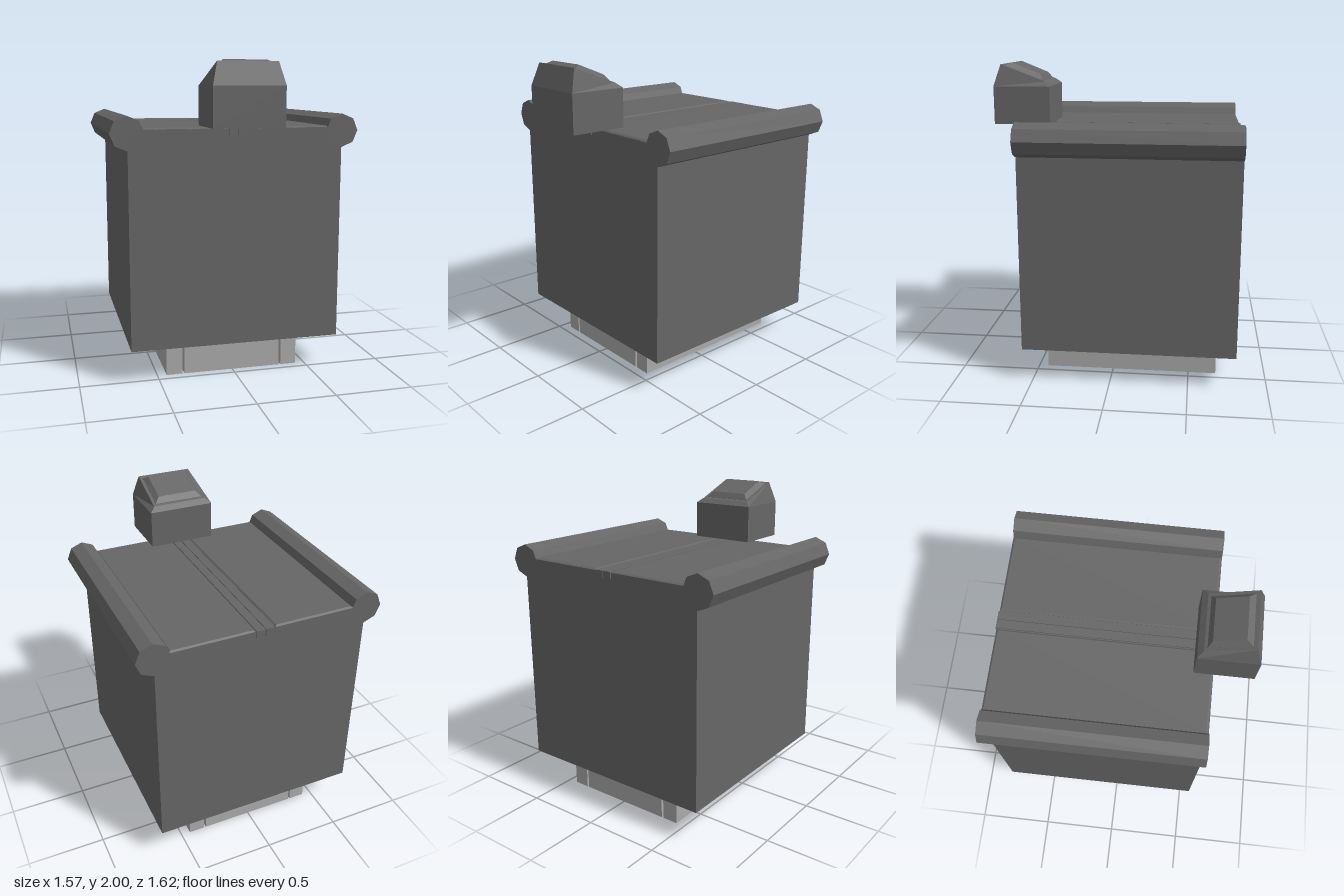
import * as THREE from 'three';

// Stack of rectangular rings; each ring is [halfWidth, zBack, zFront, yBack, yFront]
function loft(rings) {
  const pts = rings.map(([w, zb, zf, yb, yf]) => [[-w, yf, zf], [w, yf, zf], [w, yb, zb], [-w, yb, zb]]);
  const pos = [];
  const quad = (a, b, c, d) => pos.push(...a, ...b, ...c, ...a, ...c, ...d);
  for (let r = 0; r < pts.length - 1; r++) {
    for (let i = 0; i < 4; i++) {
      const j = (i + 1) % 4;
      quad(pts[r][i], pts[r][j], pts[r + 1][j], pts[r + 1][i]);
    }
  }
  const top = pts[pts.length - 1], bottom = pts[0];
  quad(top[0], top[1], top[2], top[3]);
  quad(bottom[3], bottom[2], bottom[1], bottom[0]);
  const geo = new THREE.BufferGeometry();
  geo.setAttribute('position', new THREE.Float32BufferAttribute(pos, 3));
  geo.computeVertexNormals();
  return geo;
}

// Box given by its minimum and maximum corners
function span(x0, x1, y0, y1, z0, z1) {
  return new THREE.BoxGeometry(x1 - x0, y1 - y0, z1 - z0)
    .translate((x0 + x1) / 2, (y0 + y1) / 2, (z0 + z1) / 2);
}

export function createModel() {
  const group = new THREE.Group();
  const dark = new THREE.MeshStandardMaterial({ name: 'darkGrey', color: 0x666666, flatShading: true });
  const light = new THREE.MeshStandardMaterial({ name: 'lightGrey', color: 0xaaaaaa, flatShading: true });
  const add = (name, geo, mat = dark) => {
    const mesh = new THREE.Mesh(geo, mat);
    mesh.name = name;
    group.add(mesh);
    return mesh;
  };

  // Main block and the middle part of its base
  add('body', span(-0.68, 0.68, 0.22, 1.59, -0.8, 0.56));
  add('baseCentre', span(-0.322, 0.322, 0, 0.22, -0.68, 0.44), light);

  for (const [side, s] of [['left', 1], ['right', -1]]) {
    // Outer base strips, set off by narrow slots
    const x0 = Math.min(s * 0.335, s * 0.44), x1 = Math.max(s * 0.335, s * 0.44);
    add(side + 'BaseStrip', span(x0, x1, 0, 0.22, -0.68, 0.44), light);

    // Octagonal rail along the upper edge
    const rail = new THREE.CylinderGeometry(0.105, 0.105, 1.36, 8).rotateX(Math.PI / 2);
    add(side + 'Rail', rail).position.set(s * 0.682, 1.57, -0.12);

    // Bevelled lid panel
    const panel = loft([
      [0.262, -0.802, 0.555, 1.585, 1.585],
      [0.262, -0.802, 0.555, 1.592, 1.592],
      [0.252, -0.79, 0.543, 1.6, 1.6],
    ]);
    add(side + 'LidPanel', panel).position.x = s * 0.327;

    // Half of the centre hinge strip
    const h0 = Math.min(s * 0.002, s * 0.058), h1 = Math.max(s * 0.002, s * 0.058);
    add(side + 'HingeStrip', span(h0, h1, 1.55, 1.597, -0.808, 0.567));

    // Shallow rounded bumps on the underside
    for (const z of [0.11, -0.21]) {
      const bump = new THREE.CylinderGeometry(0.032, 0.032, 0.17, 12).rotateZ(Math.PI / 2);
      add(side + 'UndersideBump', bump).position.set(s * 0.435, 0.244, z);
    }
  }

  // Floating head with tapered, backward-sloping top
  add('head', loft([
    [0.22, 0.437, 0.808, 1.605, 1.605],
    [0.22, 0.437, 0.808, 1.85, 1.85],
    [0.185, 0.472, 0.765, 1.88, 1.99],
  ]));
  // Bevelled plate on the sloping top
  add('headPlate', loft([
    [0.165, 0.49, 0.74, 1.883, 1.976],
    [0.165, 0.49, 0.74, 1.888, 1.981],
    [0.135, 0.515, 0.7, 1.926, 2.0],
  ]));

  return group;
}
